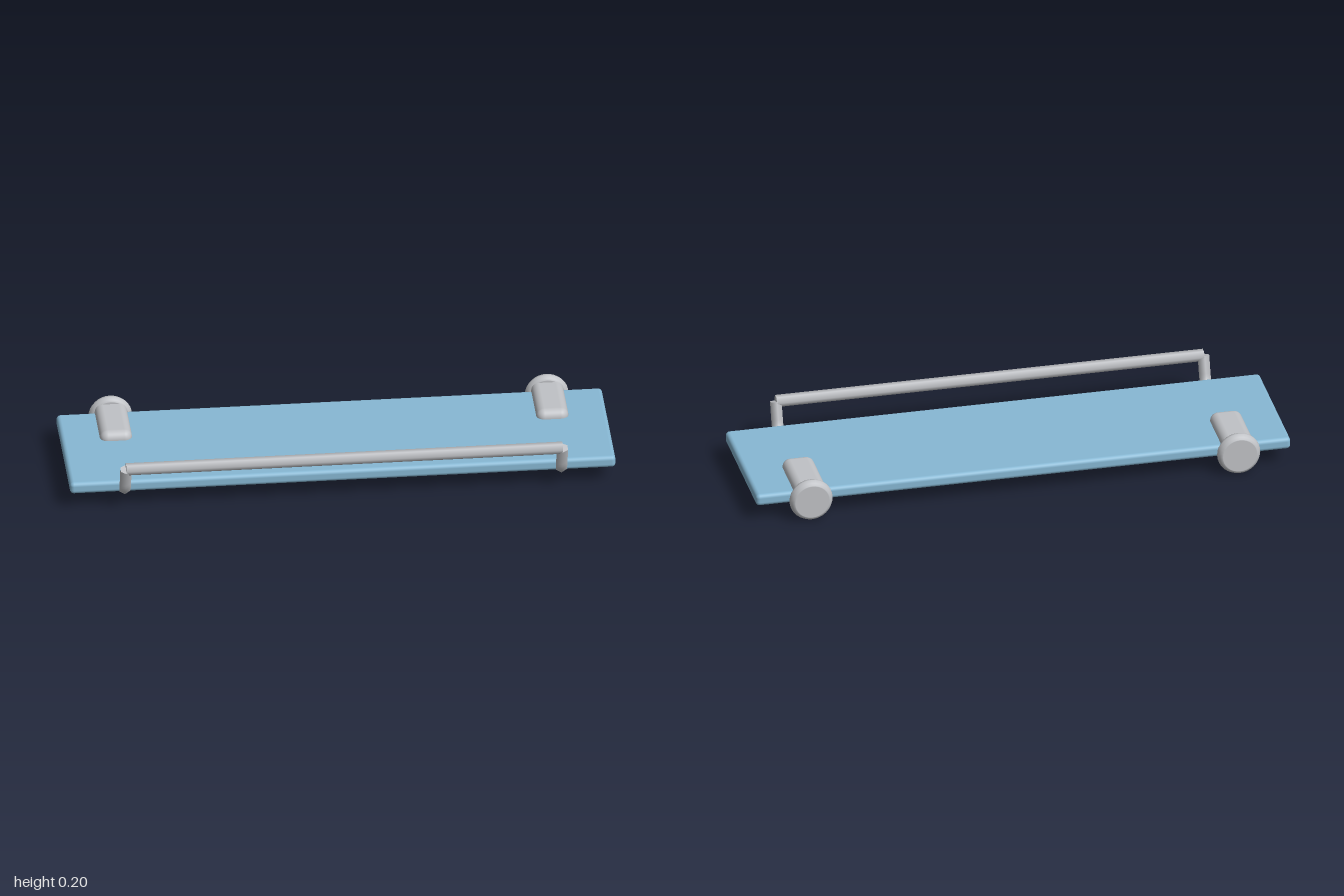
import * as THREE from 'three';
import { RoundedBoxGeometry } from 'three/addons/geometries/RoundedBoxGeometry.js';

const ROD = 0.0225; // radius of the six-sided rod used for arms and rail

// Bends a straight six-sided rod along a curve lying in the YZ plane
function bentRod(curve, segments) {
  const geo = new THREE.CylinderGeometry(ROD, ROD, 1, 6, segments);
  const pos = geo.attributes.position;
  const nor = geo.attributes.normal;
  const xAxis = new THREE.Vector3(1, 0, 0);
  for (let i = 0; i < pos.count; i++) {
    const t = THREE.MathUtils.clamp(pos.getY(i) + 0.5, 0, 1);
    const tangent = curve.getTangentAt(t);
    const across = new THREE.Vector3().crossVectors(xAxis, tangent);
    const p = curve.getPointAt(t).addScaledVector(xAxis, pos.getX(i)).addScaledVector(across, pos.getZ(i));
    const n = new THREE.Vector3()
      .addScaledVector(xAxis, nor.getX(i))
      .addScaledVector(tangent, nor.getY(i))
      .addScaledVector(across, nor.getZ(i));
    pos.setXYZ(i, p.x, p.y, p.z);
    nor.setXYZ(i, n.x, n.y, n.z);
  }
  return geo;
}

export function createModel() {
  const model = new THREE.Group();
  model.name = 'glassShelf';
  const glass = new THREE.MeshStandardMaterial({ color: 0x87b8d4 });
  glass.name = 'blue glass';
  const metal = new THREE.MeshStandardMaterial({ color: 0xc0c2c6 });
  metal.name = 'brushed metal';

  const add = (parent, name, geometry, material, x = 0, y = 0, z = 0) => {
    const mesh = new THREE.Mesh(geometry, material);
    mesh.name = name;
    mesh.position.set(x, y, z);
    parent.add(mesh);
  };

  // Glass board with softened edges
  add(model, 'shelfBoard', new RoundedBoxGeometry(2, 0.046, 0.518, 3, 0.015), glass, 0, 0.085, -0.012);

  // Wall disc: bevelled rim turned about the z axis
  const rim = [
    [0, 0.268], [0.066, 0.268], [0.068, 0.268], [0.074, 0.272], [0.08, 0.285],
    [0.08, 0.292], [0.074, 0.306], [0.066, 0.312], [0.063, 0.312], [0, 0.312],
  ].map(([r, d]) => new THREE.Vector2(r, d));
  const discGeo = new THREE.LatheGeometry(rim, 32).rotateX(-Math.PI / 2);

  // Clamp block gripping the board, its back end sunk into the disc
  const clampGeo = new RoundedBoxGeometry(0.118, 0.117, 0.25, 4, 0.03);

  // Arm: runs forward under the board, then curves up to the rail
  const at = (z, y) => new THREE.Vector3(0, y, z);
  const path = new THREE.CurvePath();
  path.add(new THREE.LineCurve3(at(-0.08, 0.0625), at(0.19, 0.0625)));
  path.add(new THREE.QuadraticBezierCurve3(at(0.19, 0.0625), at(0.25, 0.0625), at(0.268, 0.115)));
  path.add(new THREE.LineCurve3(at(0.268, 0.115), at(0.29, 0.182)));
  const armGeo = bentRod(path, 40);

  for (const side of [1, -1]) {
    const bracket = new THREE.Group();
    bracket.name = side > 0 ? 'leftBracket' : 'rightBracket';
    bracket.position.x = side * 0.8;
    add(bracket, 'wallDisc', discGeo, metal, 0, 0.08, 0);
    add(bracket, 'clamp', clampGeo, metal, 0, 0.0805, -0.177);
    add(bracket, 'supportArm', armGeo, metal);
    model.add(bracket);
  }

  // Front guard rail between the arm tips
  const railGeo = new THREE.CylinderGeometry(ROD, ROD, 1.6, 6).rotateZ(Math.PI / 2);
  add(model, 'guardRail', railGeo, metal, 0, 0.183, 0.29);

  return model;
}
